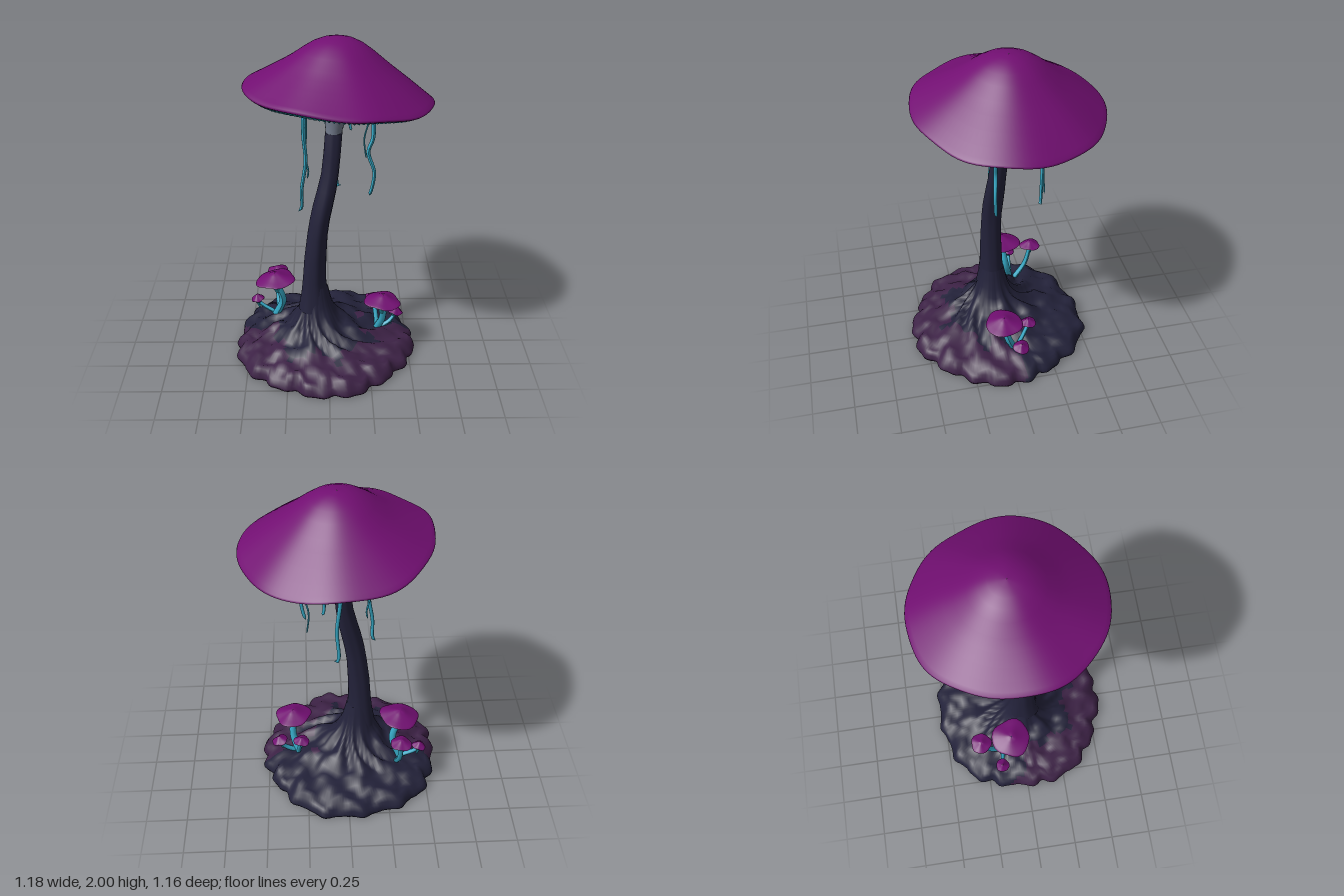
import * as THREE from 'three';

const mat = (name, color) => {
  const m = new THREE.MeshStandardMaterial({ color });
  m.name = name;
  return m;
};
const V = (x, y, z) => new THREE.Vector3(x, y, z);

// Closed loops of points, joined ring to ring; pick() chooses a material group per quad
function loft(rings, seg, point, pick) {
  const pos = [], faces = [[], []];
  for (let i = 0; i < rings; i++)
    for (let j = 0; j < seg; j++) pos.push(...point(i, (j / seg) * Math.PI * 2, j));
  for (let i = 0; i < rings - 1; i++)
    for (let j = 0; j < seg; j++) {
      const k = (j + 1) % seg;
      const a = i * seg + j, b = i * seg + k, c = a + seg, d = b + seg;
      faces[pick ? pick(pos[c * 3], pos[c * 3 + 1], pos[c * 3 + 2], i) : 0].push(a, b, c, b, d, c);
    }
  const g = new THREE.BufferGeometry();
  g.setAttribute('position', new THREE.Float32BufferAttribute(pos, 3));
  g.setIndex([...faces[0], ...faces[1]]);
  if (pick) {
    g.addGroup(0, faces[0].length, 0);
    g.addGroup(faces[0].length, faces[1].length, 1);
  }
  g.computeVertexNormals();
  return g;
}

// Tube along points whose thickness narrows to the given share at its end
function taperedTube(points, radius, endShare) {
  const curve = new THREE.CatmullRomCurve3(points), n = 32, sides = 8;
  const g = new THREE.TubeGeometry(curve, n, radius, sides);
  const p = g.attributes.position, v = V(0, 0, 0);
  for (let i = 0; i <= n; i++) {
    const c = curve.getPointAt(i / n);
    const f = i === n ? 0.05 : 1 + (endShare - 1) * (i / n);
    for (let j = 0; j <= sides; j++) {
      const k = i * (sides + 1) + j;
      v.fromBufferAttribute(p, k).sub(c).multiplyScalar(f).add(c);
      p.setXYZ(k, v.x, v.y, v.z);
    }
  }
  g.computeVertexNormals();
  return g;
}

export function createModel() {
  const model = new THREE.Group();
  const capMat = mat('purple cap', 0x720f72);
  const gillMat = mat('teal gills', 0x24899a);
  const vineMat = mat('cyan tendrils', 0x36a9c6);
  const barkMat = mat('dark bark', 0x23223a);
  const fleshMat = mat('grey flesh', 0x71798a);
  const mossMat = mat('plum soil', 0x3d2246);
  const add = (name, geo, material, parent = model) => {
    const m = new THREE.Mesh(geo, material);
    m.name = name;
    parent.add(m);
    return m;
  };

  // Large tilted cap: wavy outline, plane of the rim falls towards +x and -z
  const CX = 0.05, CZ = -0.035, CR = 0.54;
  const capPoint = (t, y, a) => {
    const r = t * CR * (1 + t * (0.012 * Math.sin(3 * a + 1) + 0.008 * Math.sin(5 * a) + 0.005 * Math.sin(9 * a + 2)));
    const x = r * Math.cos(a), z = r * Math.sin(a);
    const wave = t * t * (0.006 * Math.sin(4 * a + 1) + 0.005 * Math.sin(7 * a));
    return [CX + x, y - 0.1 * x * t + 0.05 * z * t + wave, CZ + z];
  };
  const capProfile = [[0.003, 2], [0.09, 1.996], [0.18, 1.984], [0.28, 1.959], [0.38, 1.922], [0.5, 1.872],
    [0.62, 1.826], [0.74, 1.783], [0.86, 1.739], [0.95, 1.707], [0.99, 1.692], [1, 1.683], [0.985, 1.676], [0.96, 1.678]];
  add('cap', loft(capProfile.length, 96, (i, a) => capPoint(...capProfile[i], a)), capMat);

  // Pleated gills under the cap
  const gillProfile = [[0.985, 1.678], [0.93, 1.658], [0.82, 1.645], [0.68, 1.637], [0.54, 1.635], [0.38, 1.64]];
  add('gills', loft(gillProfile.length, 240, (i, a, j) => {
    const [t, y] = gillProfile[i];
    return capPoint(t, y + (i && j % 2 ? 0.014 : 0), a);
  }), gillMat);

  // Flared, ribbed collar where the stem meets the gills
  const collar = [[0.215, 1.645, 0.05, -0.03], [0.15, 1.632, 0.05, -0.03], [0.108, 1.61, 0.048, -0.026],
    [0.078, 1.57, 0.045, -0.02], [0.06, 1.52, 0.038, -0.012], [0.05, 1.47, 0.03, -0.007], [0.046, 1.42, 0.026, -0.003]];
  add('collar', loft(collar.length, 96, (i, a, j) => {
    const [r, y, cx, cz] = collar[i];
    const rr = r * (j % 2 ? 0.95 : 1), x = rr * Math.cos(a), z = rr * Math.sin(a);
    return [cx + x, y + (i < 3 ? -0.08 * x + 0.04 * z : 0), cz + z];
  }), fleshMat);

  // Leaning trunk: height, centre x, centre z, radius
  const trunk = [[1.452, 0.028, -0.004, 0.044], [1.45, 0.028, -0.004, 0.05], [1.33, 0.02, 0.01, 0.05], [1.2, 0.008, 0.022, 0.051],
    [1.1, -0.01, 0.03, 0.056], [1, -0.033, 0.037, 0.059], [0.9, -0.054, 0.041, 0.059], [0.8, -0.069, 0.043, 0.06],
    [0.65, -0.083, 0.042, 0.066], [0.5, -0.09, 0.041, 0.071], [0.4, -0.09, 0.04, 0.082], [0.3, -0.09, 0.04, 0.1]];
  add('trunk', loft(trunk.length, 32, (i, a) => {
    const [y, cx, cz, r] = trunk[i];
    const rr = r * (1 + 0.04 * Math.sin(3 * a + y * 4) + 0.025 * Math.sin(7 * a - y * 3));
    return [cx + rr * Math.cos(a), y, cz + rr * Math.sin(a)];
  }), barkMat);

  // Root mound: spreads from the trunk to a scalloped edge, plum at the front
  const mound = [[0.13, 0.46], [0.15, 0.4], [0.175, 0.335], [0.21, 0.28], [0.26, 0.235], [0.32, 0.2], [0.39, 0.172],
    [0.47, 0.15], [0.55, 0.132], [0.63, 0.117], [0.71, 0.106], [0.79, 0.097], [0.86, 0.09], [0.92, 0.078],
    [0.96, 0.06], [0.985, 0.038], [1, 0.015], [0.99, 0], [0.5, 0], [0.002, 0]];
  add('rootMound', loft(mound.length, 180, (i, a) => {
    const [t, h] = mound[i];
    const under = i >= mound.length - 3;
    const scallop = Math.abs(Math.sin(8.5 * a + 0.8 * Math.sin(2 * a)));
    const edge = 0.535 + 0.03 * scallop + 0.012 * Math.sin(5 * a + 1) + 0.006 * Math.sin(29 * a);
    const k = Math.min(1, t * 1.1);
    const cx = -0.09 + 0.062 * k, cz = 0.04 - 0.025 * k;
    const r = t * (edge * k + 0.55 * (1 - k));
    let y = h;
    if (!under) {
      // branching root ridges, then lumps near the edge
      const bend = a + 0.35 * Math.sin(t * 9 + 2 * a);
      const ridge = Math.pow(Math.abs(Math.cos(4.5 * bend)), 2) - 0.45;
      const mid = Math.sin(Math.PI * Math.min(1, Math.max(0, (t - 0.13) / 0.62)));
      const rim = Math.min(1, Math.max(0, (t - 0.45) * 3)) * Math.min(1, h / 0.08);
      y += 0.05 * mid * ridge + rim * (0.012 * Math.sin(11 * a + t * 20) + 0.008 * Math.sin(19 * a - t * 26));
    }
    return [cx + r * Math.cos(a), y, cz + r * Math.sin(a)];
  }, (x, y, z, i) => {
    const wobble = 0.04 * Math.sin(x * 23) + 0.03 * Math.sin(z * 31 + x * 9);
    const far = Math.hypot(x + 0.05, z - 0.03) > 0.34 + wobble;
    return i < mound.length - 3 && far && z > -0.06 + wobble ? 1 : 0;
  }), [barkMat, mossMat]);

  // Hanging tendrils: thickness, then the path from gills to tip
  const tendrils = [
    [0.013, [[-0.14, 1.67, 0.03], [-0.145, 1.45, 0.03], [-0.135, 1.28, 0.02], [-0.16, 1.1, 0.03], [-0.162, 0.98, 0.02], [-0.18, 0.955, 0.02]]],
    [0.007, [[-0.135, 1.66, -0.02], [-0.13, 1.45, -0.015], [-0.14, 1.3, -0.01], [-0.12, 1.2, -0.02], [-0.128, 1.15, -0.02]]],
    [0.011, [[0.13, 1.65, -0.26], [0.132, 1.5, -0.262], [0.13, 1.4, -0.255], [0.138, 1.36, -0.26]]],
    [0.013, [[0.245, 1.65, 0.08], [0.25, 1.45, 0.08], [0.225, 1.36, 0.075], [0.26, 1.24, 0.085], [0.25, 1.14, 0.08], [0.235, 1.085, 0.075]]],
    [0.006, [[0.25, 1.65, -0.18], [0.24, 1.45, -0.19], [0.215, 1.33, -0.2], [0.228, 1.2, -0.205]]],
    [0.013, [[0.04, 1.66, -0.24], [0.04, 1.45, -0.25], [0.06, 1.22, -0.235], [0.05, 1.04, -0.235], [0.06, 1.005, -0.23], [0.078, 1.01, -0.23]]],
    [0.007, [[-0.02, 1.65, -0.07], [-0.022, 1.55, -0.07], [-0.018, 1.47, -0.07]]],
  ];
  for (const [r, pts] of tendrils)
    add('tendril', taperedTube(pts.map(p => V(...p)), r, 0.75), vineMat);

  // Small mushrooms: cap top, cap radius and height, tilt, foot of stem, bend
  const smallCap = [[0.01, 1], [0.15, 0.96], [0.3, 0.8], [0.5, 0.52], [0.72, 0.3], [0.9, 0.12], [1, 0], [0.97, -0.06]];
  const smallGills = [[0.97, -0.06], [0.85, -0.08], [0.6, -0.3], [0.35, -0.75], [0.2, -1.3], [0.12, -1.9]];
  const sprout = (top, r, h, tilt, foot, bend) => {
    const g = new THREE.Group();
    g.name = 'smallMushroom';
    const head = new THREE.Group();
    head.name = 'smallHead';
    head.position.set(top[0], top[1] - h, top[2]);
    head.rotation.z = tilt;
    const shape = prof => loft(prof.length, 28, (i, a) => {
      const [t, y] = prof[i];
      const rr = t * r * (1 + 0.05 * t * Math.sin(3 * a + r * 50) + 0.03 * t * Math.sin(5 * a));
      return [rr * Math.cos(a), y * h + 0.004 * t * Math.sin(4 * a), rr * Math.sin(a)];
    });
    add('smallCap', shape(smallCap), capMat, head);
    add('smallGills', shape(smallGills), gillMat, head);
    const neck = V(top[0], top[1] - h * 1.5, top[2]);
    const stem = taperedTube([V(...foot), V(...bend), neck], 0.008 + r * 0.14, 0.85);
    add('smallStem', stem, vineMat, g);
    g.add(head);
    model.add(g);
  };
  sprout([-0.335, 0.47, -0.08], 0.122, 0.048, 0.1, [-0.34, 0.13, -0.13], [-0.295, 0.26, -0.1]);
  sprout([-0.33, 0.405, -0.275], 0.066, 0.032, 0.05, [-0.32, 0.12, -0.17], [-0.33, 0.22, -0.24]);
  sprout([-0.46, 0.265, -0.155], 0.043, 0.035, 0.15, [-0.35, 0.14, -0.14], [-0.42, 0.18, -0.15]);
  sprout([0.335, 0.385, 0.05], 0.112, 0.045, -0.06, [0.31, 0.1, -0.02], [0.34, 0.2, 0.02]);
  sprout([0.285, 0.295, -0.115], 0.05, 0.028, 0.05, [0.31, 0.1, -0.04], [0.3, 0.18, -0.08]);
  sprout([0.425, 0.24, -0.04], 0.05, 0.035, -0.25, [0.33, 0.1, -0.02], [0.39, 0.14, -0.03]);

  return model;
}
